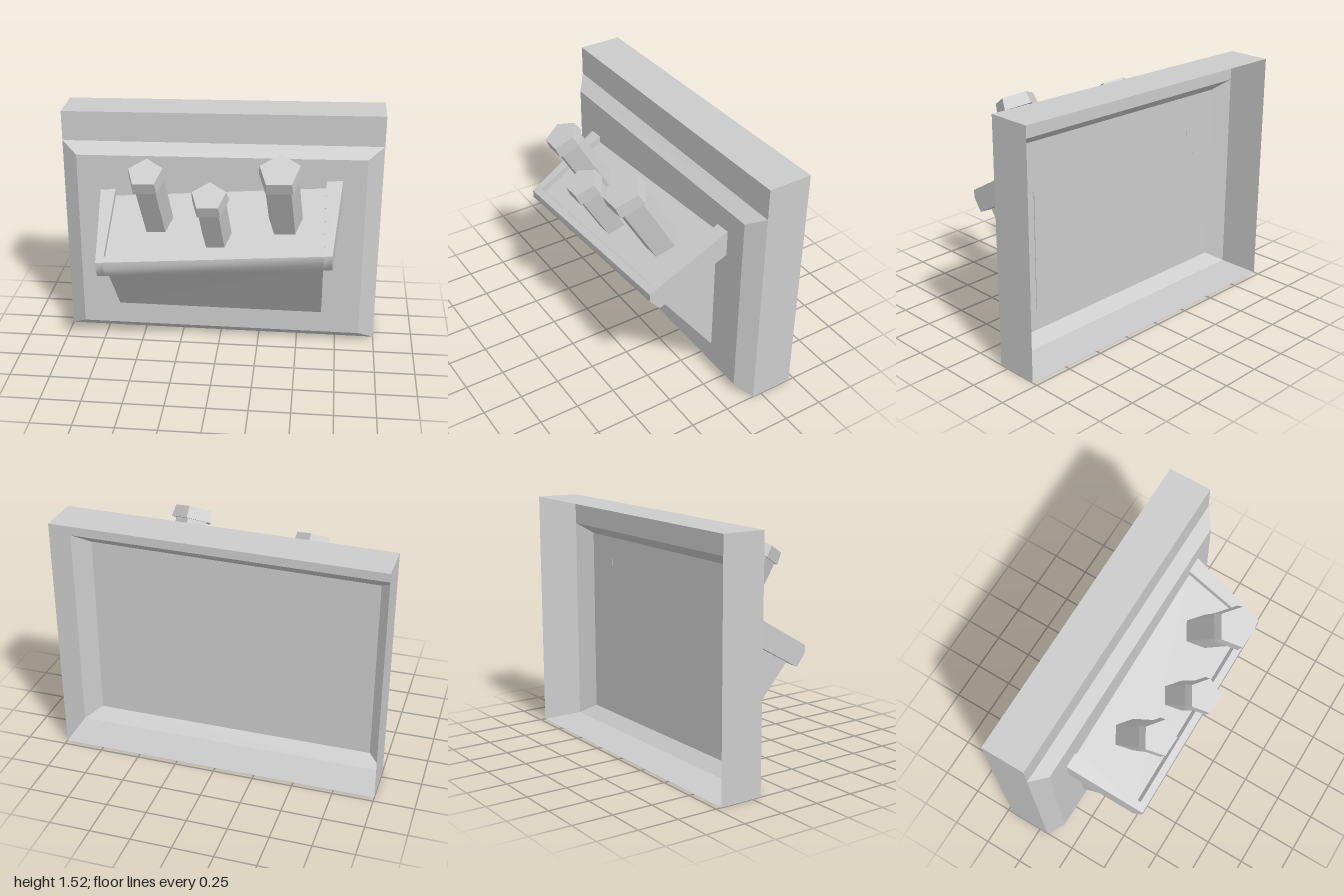
import * as THREE from 'three';
import { toCreasedNormals } from 'three/addons/utils/BufferGeometryUtils.js';

const flat = new THREE.MeshStandardMaterial({ color: 0xcccccc, flatShading: true });
const creased = new THREE.MeshStandardMaterial({ color: 0xcccccc });
const shell = new THREE.MeshStandardMaterial({ color: 0xcccccc, flatShading: true, side: THREE.DoubleSide });

const SLOPE = 0.079; // sideways lean of the tray, rising toward +x
const BACK = -0.12; // where the tray and bracket meet the panel

function addMesh(parent, name, geometry, material) {
  const mesh = new THREE.Mesh(geometry, material);
  mesh.name = name;
  parent.add(mesh);
  return mesh;
}

// Extrudes a [z, y] profile across x from left(z) to right(z), leaning it by slope(y)
function crossBar(profile, left, right, slope) {
  const shape = new THREE.Shape(profile.map(([z, y]) => new THREE.Vector2(z, y)));
  const geo = new THREE.ExtrudeGeometry(shape, { depth: 1, bevelEnabled: false });
  const p = geo.attributes.position;
  for (let i = 0; i < p.count; i++) {
    const z = p.getX(i), y = p.getY(i);
    const x = THREE.MathUtils.lerp(right(z), left(z), p.getZ(i));
    p.setXYZ(i, x, y + slope(y) * x, z);
  }
  geo.computeVertexNormals();
  return toCreasedNormals(geo, 0.8);
}

// Open-backed panel: rectangular rings joined from back to front, then capped
function panelGeometry() {
  const ring = (hw, bottom, topLeft, topRight, z) =>
    [[-hw, bottom, z], [hw, bottom, z], [hw, topRight, z], [-hw, topLeft, z]];
  const rings = [
    ring(1, 0, 1.49, 1.52, -0.465),
    ring(1, 0, 1.49, 1.52, -0.192),
    ring(1, 0, 1.3, 1.327, -0.192),
    ring(0.9, 0.065, 1.235, 1.265, -0.115),
  ];
  const pos = [];
  const quad = (a, b, c, d) => pos.push(...a, ...b, ...c, ...a, ...c, ...d);
  for (let r = 0; r < 3; r++) {
    for (let i = 0; i < 4; i++) {
      if (r === 1 && i !== 2) continue; // only the strip along the top has area
      const j = (i + 1) % 4;
      quad(rings[r][i], rings[r][j], rings[r + 1][j], rings[r + 1][i]);
    }
  }
  quad(...rings[3]);
  const geo = new THREE.BufferGeometry();
  geo.setAttribute('position', new THREE.Float32BufferAttribute(pos, 3));
  geo.computeVertexNormals();
  return geo;
}

// Five-sided peg with a flared cap; origin at the centre of the cap's top
function makePeg(name, [x, y, z], length, stemR, capR) {
  const peg = new THREE.Group();
  peg.name = name;
  const capH = 0.075;
  const cap = addMesh(peg, 'pegCap',
    new THREE.CylinderGeometry(capR * 0.91, capR, capH, 5, 1, false, Math.PI), flat);
  cap.position.y = -capH / 2;
  const stem = addMesh(peg, 'pegStem',
    new THREE.CylinderGeometry(stemR, stemR, length - capH / 2, 5, 1, false, Math.PI), flat);
  stem.position.y = -(length + capH / 2) / 2;
  peg.position.set(x, y, z);
  peg.rotation.set(0.52, 0, 0.065); // square to the tray floor
  return peg;
}

export function createModel() {
  const model = new THREE.Group();
  model.name = 'wallPanelWithPegTray';

  addMesh(model, 'backPanel', panelGeometry(), shell);

  // Wedge bracket: level at the bottom, leaning with the tray at the top
  const bracket = [[BACK, 0.2], [0.275, 0.692], [BACK, 0.95]];
  addMesh(model, 'bracket',
    crossBar(bracket, () => -0.66, () => 0.655, (y) => (y > 0.3 ? 0.07 : 0)), flat);

  // Tray: recessed floor with front lip, and a flared cheek on each side
  const tray = new THREE.Group();
  tray.name = 'tray';
  model.add(tray);
  const rimY = (z) => 0.79 + 0.57 * (0.37 - z);
  const underside = [[BACK, 0.905], [0.305, 0.668], [0.37, 0.742], [0.37, rimY(0.37)]];
  const lean = () => SLOPE;
  const outer = (z) => 0.705 + 0.05 * (0.37 - z) / 0.485;
  const floor = [...underside, [0.33, rimY(0.33)], [0.305, rimY(0.305) - 0.045], [BACK, rimY(BACK) - 0.045]];
  const cheek = [...underside, [BACK, rimY(BACK)]];
  addMesh(tray, 'trayFloor', crossBar(floor, () => -0.66, () => 0.655, lean), creased);
  addMesh(tray, 'rightCheek', crossBar(cheek, (z) => -outer(z), () => -0.66, lean), creased);
  addMesh(tray, 'leftCheek', crossBar(cheek, () => 0.655, outer, lean), creased);

  // Pegs standing on the tray
  model.add(makePeg('rightPeg', [-0.4, 1.3, 0.305], 0.5, 0.1, 0.118));
  model.add(makePeg('middlePeg', [-0.02, 1.2, 0.383], 0.43, 0.095, 0.116));
  model.add(makePeg('leftPeg', [0.385, 1.36, 0.35], 0.53, 0.108, 0.136));

  return model;
}
